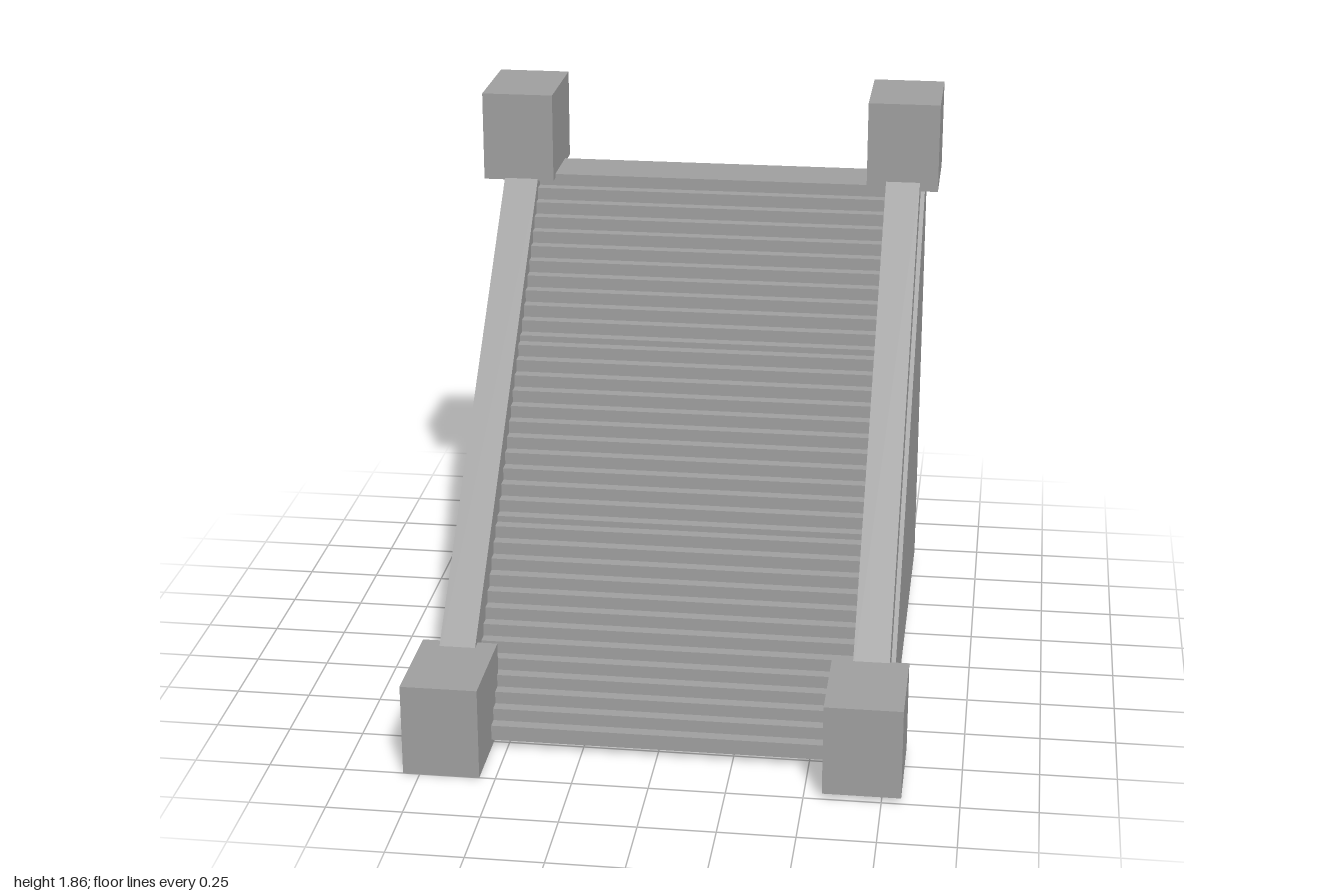
import * as THREE from 'three';

const material = new THREE.MeshStandardMaterial({ color: 0x9e9e9e, flatShading: true });

// Extrudes a [z, y] side profile across the span x0..x1
function profile(name, points, x0, x1) {
  const shape = new THREE.Shape(points.map(([z, y]) => new THREE.Vector2(z, y)));
  const geometry = new THREE.ExtrudeGeometry(shape, { depth: x1 - x0, bevelEnabled: false });
  geometry.rotateY(-Math.PI / 2).translate(x1, 0, 0);
  const mesh = new THREE.Mesh(geometry, material);
  mesh.name = name;
  return mesh;
}

// Box given by its lower and upper corners
function block(name, [x0, y0, z0], [x1, y1, z1]) {
  const mesh = new THREE.Mesh(new THREE.BoxGeometry(x1 - x0, y1 - y0, z1 - z0), material);
  mesh.position.set((x0 + x1) / 2, (y0 + y1) / 2, (z0 + z1) / 2);
  mesh.name = name;
  return mesh;
}

// Sloping rail: top edge from front to back, constant thickness, square ends,
// with the lower end run on into the front post
function rail(name, front, back, x0, x1) {
  const a = new THREE.Vector2(...front), b = new THREE.Vector2(...back);
  const dir = b.clone().sub(a).normalize();
  const down = new THREE.Vector2(-dir.y, dir.x).multiplyScalar(0.11);
  a.addScaledVector(dir, -0.08);
  const corners = [a, b, b.clone().add(down), a.clone().add(down)];
  return profile(name, corners.map((p) => [p.x, p.y]), x0, x1);
}

export function createModel() {
  const group = new THREE.Group();

  // Solid wedge under the stairs
  group.add(profile('stairBase', [[0.78, 0.05], [-0.75, 1.555], [-0.87, 1.555], [-0.87, 0.05]], -0.74, 0.765));

  // Sawtooth steps in three flights; each upper flight starts with a half rise
  const count = 36, tread = 1.45 / count, rise = 1.475 / (count - 1);
  const steps = [[0.7, 0.028], [0.79, 0.028]];
  let z = 0.79, y = 0.08;
  for (let i = 0; i <= count; i++) {
    if (i > 0) y += i === 13 || i === 25 ? rise / 2 : rise;
    const next = i < count ? z - tread : -0.75;
    steps.push([z, y], [next, y]);
    z = next;
  }
  steps.push([-0.75, 1.48]);
  group.add(profile('steps', steps, -0.735, 0.75));

  // Side rails
  group.add(rail('rightRail', [0.69, 0.315], [-0.63, 1.555], -0.74, -0.62));
  group.add(rail('leftRail', [0.66, 0.33], [-0.625, 1.58], 0.63, 0.75));

  // Corner posts
  group.add(
    block('frontRightPost', [-0.805, 0, 0.65], [-0.553, 0.313, 1]),
    block('frontLeftPost', [0.56, 0.02, 0.655], [0.813, 0.328, 1]),
    block('backRightPost', [-0.815, 1.54, -0.975], [-0.563, 1.855, -0.62]),
    block('backLeftPost', [0.56, 1.54, -1], [0.813, 1.855, -0.655]),
  );
  return group;
}
